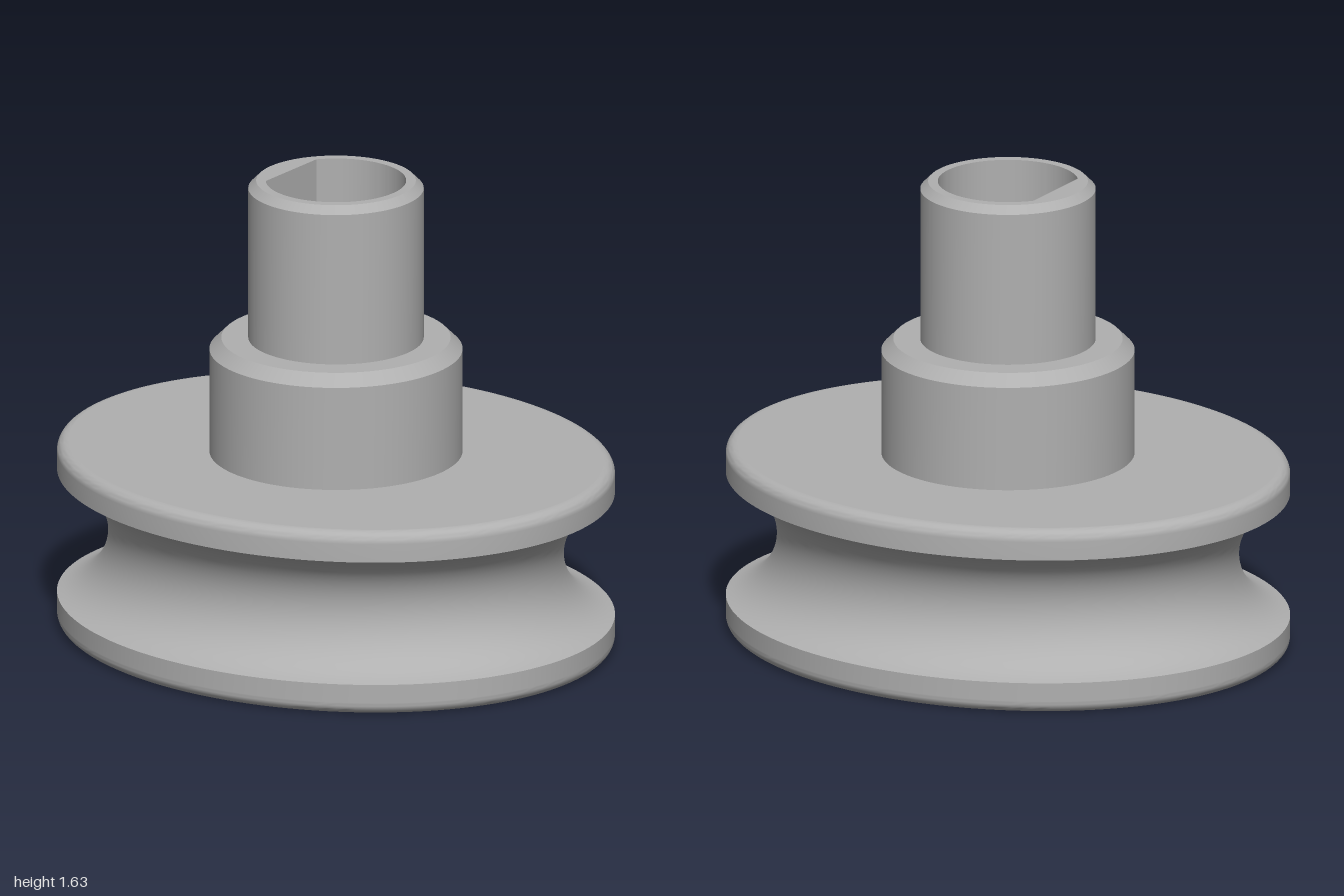
import * as THREE from 'three';
import { toCreasedNormals } from 'three/addons/utils/BufferGeometryUtils.js';

const RX = 0.86, RZ = 1.0, BORE = 0.24, FLAT = 0.19;

// Shared sweep angles, including the two corners of the D-shaped bore
const corner = Math.asin(FLAT / BORE);
const angles = Array.from({ length: 180 }, (_, i) => (i / 180) * Math.PI * 2);
angles.push(Math.PI + corner, 2 * Math.PI - corner);
angles.sort((a, b) => a - b);

// Cross-section rings: inset ellipse, circle and D-shaped bore
const oval = (inset, y) => angles.map((t) => {
  const c = Math.cos(t), s = Math.sin(t);
  const n = Math.hypot(c / RX, s / RZ);
  return [RX * c - (inset * c) / RX / n, y, RZ * s - (inset * s) / RZ / n];
});
const circle = (r, y) => angles.map((t) => [r * Math.cos(t), y, r * Math.sin(t)]);
const bore = (y) => angles.map((t) => {
  const s = Math.sin(t);
  const r = s < 0 ? Math.min(BORE, FLAT / -s) : BORE;
  return [r * Math.cos(t), y, r * s];
});

// Skin a sequence of closed rings
function loft(rings) {
  const n = angles.length, index = [];
  for (let i = 0; i < rings.length - 1; i++) {
    for (let j = 0; j < n; j++) {
      const k = (j + 1) % n;
      const a = i * n + j, b = i * n + k, c = a + n, d = b + n;
      index.push(a, c, b, b, c, d);
    }
  }
  const geo = new THREE.BufferGeometry();
  geo.setAttribute('position', new THREE.Float32BufferAttribute(rings.flat(2), 3));
  geo.setIndex(index);
  return toCreasedNormals(geo, 0.4);
}

// Quarter-round edge steps: [inset, distance from the flat face]
const FILLET = 0.04;
const fillet = Array.from({ length: 9 }, (_, i) => {
  const a = (i / 8) * Math.PI / 2;
  return [FILLET * (1 - Math.sin(a)), FILLET * (1 - Math.cos(a))];
});

export function createModel() {
  const group = new THREE.Group();
  const metal = new THREE.MeshStandardMaterial({ color: 0xb0b0b0 });
  metal.name = 'plainGrey';
  const add = (name, rings) => {
    const mesh = new THREE.Mesh(loft(rings), metal);
    mesh.name = name;
    group.add(mesh);
  };

  const low = 0.11, high = 0.55, top = 0.655;

  // Oval pulley with rounded rims
  add('bottomFace', [bore(0), oval(FILLET, 0)]);
  add('lowerRim', [...fillet.map(([d, h]) => oval(d, h)), oval(0, 0.045), oval(0, low)]);
  add('upperRim', [oval(0, high), oval(0, top - 0.045),
    ...[...fillet].reverse().map(([d, h]) => oval(d, top - h))]);
  add('topFace', [oval(FILLET, top), circle(0.433, top)]);

  // Circular-arc rope groove
  const depth = 0.175, half = (high - low) / 2;
  const R = (half * half + depth * depth) / (2 * depth);
  const sweep = Math.asin(half / R);
  const groove = [];
  for (let i = 0; i <= 24; i++) {
    const a = sweep * (i / 12 - 1);
    groove.push(oval(depth - R + R * Math.cos(a), (low + high) / 2 + R * Math.sin(a)));
  }
  add('groove', groove);

  // Stepped hub and shaft with chamfered ends
  add('hub', [circle(0.433, top), circle(0.433, 1.022), circle(0.392, 1.063), circle(0.3, 1.063)]);
  add('shaft', [circle(0.3, 1.063), circle(0.3, 1.6), circle(0.273, 1.627), bore(1.627)]);

  // D-shaped through bore
  add('bore', [bore(1.627), bore(0)]);
  return group;
}
